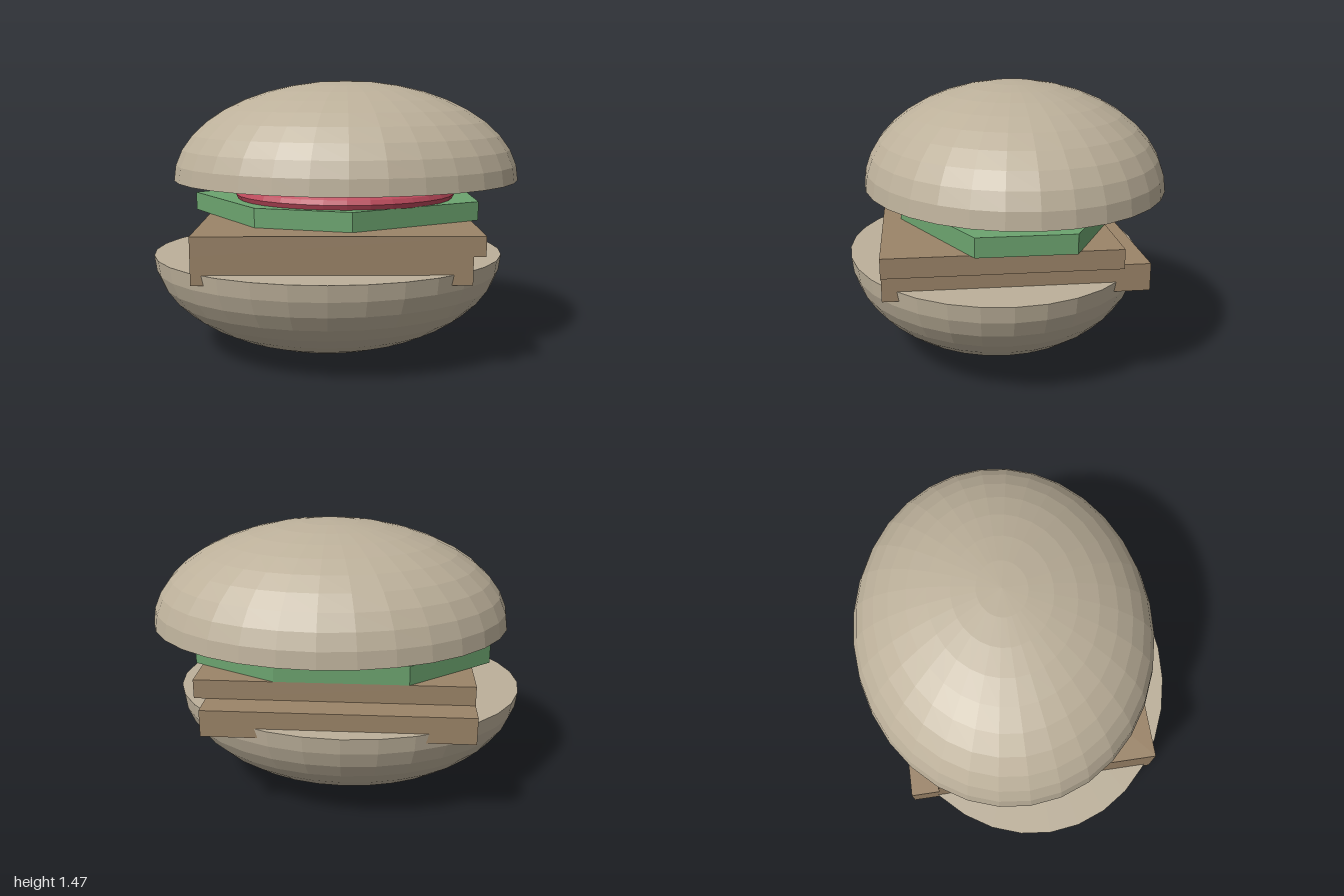
import * as THREE from 'three';

const material = (color) => new THREE.MeshStandardMaterial({ color, flatShading: true });

export function createModel() {
  const model = new THREE.Group();
  const bun = material(0xbcb09a);
  const patty = material(0x9b8468);
  const green = material(0x6ca46f);
  const red = material(0xbe4a5c);

  const add = (name, geometry, mat, x, y, z) => {
    const mesh = new THREE.Mesh(geometry, mat);
    mesh.name = name;
    mesh.position.set(x, y, z);
    model.add(mesh);
    return mesh;
  };

  // Closed half ellipsoid, dome upwards, flat face at y = 0
  const dome = (rx, ry, rz) => {
    const profile = [new THREE.Vector2(0, 0)];
    for (let i = 0; i <= 10; i++) {
      const a = (i / 10) * Math.PI / 2;
      profile.push(new THREE.Vector2(i === 10 ? 0 : Math.cos(a), Math.sin(a)));
    }
    return new THREE.LatheGeometry(profile, 32).scale(rx, ry, rz);
  };

  // Buns, offset in opposite directions
  add('topBun', dome(0.95, 0.535, 0.8), bun, 0.05, 0.93, -0.05);
  add('bottomBun', dome(0.95, 0.54, 0.8).rotateX(Math.PI), bun, -0.05, 0.54, 0.05);

  // Two stacked square slabs, flush at the front and on one side
  add('lowerPatty', new THREE.BoxGeometry(1.36, 0.14, 1.32), patty, -0.03, 0.56, 0);
  add('upperPatty', new THREE.BoxGeometry(1.42, 0.10, 1.17), patty, 0, 0.68, 0.075);

  // Irregular seven-sided lettuce leaf, outline given as x, z
  const outline = [
    [-0.42, 0.43], [0.07, 0.565], [0.75, 0.22], [0.75, -0.27],
    [0.30, -0.51], [-0.38, -0.51], [-0.81, -0.16],
  ].map(([x, z]) => new THREE.Vector2(x, -z));
  const leaf = new THREE.ExtrudeGeometry(new THREE.Shape(outline), { depth: 0.10, bevelEnabled: false });
  add('lettuce', leaf.rotateX(-Math.PI / 2), green, 0, 0.73, 0);

  // Flattened tomato slice
  add('tomato', new THREE.SphereGeometry(1, 32, 16).scale(0.605, 0.125, 0.51), red, 0.045, 0.855, 0);

  return model;
}
